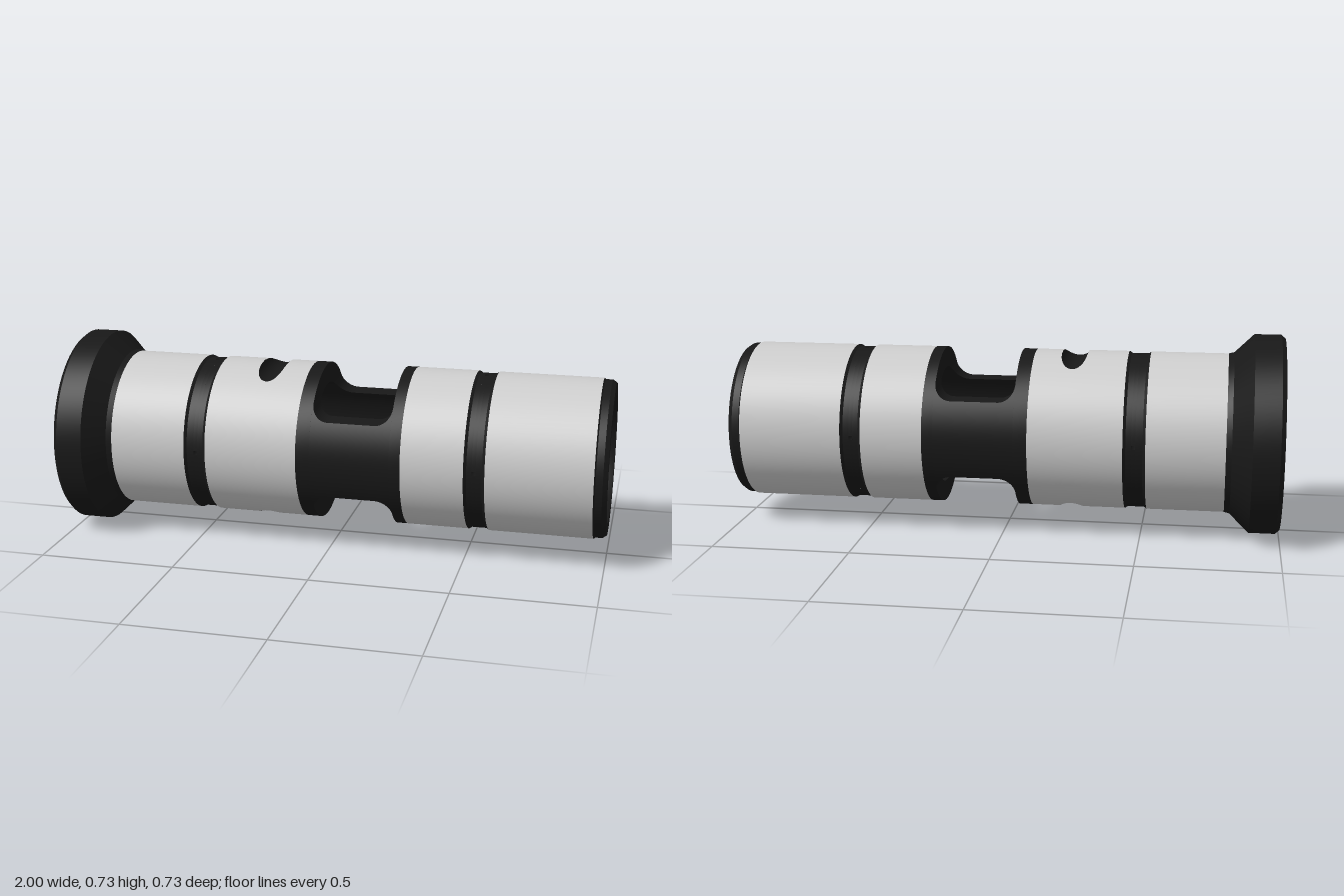
import * as THREE from 'three';
import { toCreasedNormals } from 'three/addons/utils/BufferGeometryUtils.js';
import { ParametricGeometry } from 'three/addons/geometries/ParametricGeometry.js';

const OUTER = 0.29, BORE = 0.216, AXIS_Y = 0.3625, SEG = 96;
const PIN = 0.007; // half width of a pin hole

export function createModel() {
  const group = new THREE.Group();
  const grey = new THREE.MeshStandardMaterial({ color: 0xcccccc, side: THREE.DoubleSide });
  const dark = new THREE.MeshStandardMaterial({ color: 0x181818, side: THREE.DoubleSide });

  const add = (name, geometry, material) => {
    const mesh = new THREE.Mesh(geometry, material);
    mesh.name = name;
    group.add(mesh);
    return mesh;
  };

  // Surface turned around the x axis from [radius, x] points
  const turn = (name, points, material, start = 0, length = Math.PI * 2) => {
    const pts = points.map(([r, x]) => new THREE.Vector2(r, x));
    const geo = new THREE.LatheGeometry(pts, Math.round(SEG * length / (Math.PI * 2)), start, length);
    geo.rotateZ(-Math.PI / 2);
    return add(name, toCreasedNormals(geo, 0.4), material);
  };

  // Straight wall with four pin holes around it at x = pin
  const pierced = (name, r, x0, pin, x1, inward) => {
    const order = (a, b) => inward ? [[r, b], [r, a]] : [[r, a], [r, b]];
    turn(name, order(x0, pin - PIN), dark);
    turn(name, order(pin + PIN, x1), dark);
    const gap = PIN / r;
    for (let i = 0; i < 4; i++) {
      turn(name, order(pin - PIN, pin + PIN), dark, i * Math.PI / 2 + gap, Math.PI / 2 - 2 * gap);
    }
  };

  // Add a surface and its copy turned half way round the axis
  const addPair = (name, fn, slices, stacks, material) => {
    for (const angle of [0, Math.PI]) {
      add(name, new ParametricGeometry(fn, slices, stacks), material).rotation.x = angle;
    }
  };

  // Cylinder wall cut off above and below at the height given by a path of (x, height)
  const clippedWall = (name, path, radius, material) => addPair(name, (u, v, target) => {
    const p = path.getPointAt(THREE.MathUtils.clamp(v, 0, 1));
    const a = Math.asin(Math.min(1, p.y / radius)) * (1 - 2 * u);
    target.set(p.x, radius * Math.sin(a), radius * Math.cos(a));
  }, 48, 80, material);

  // Floor of such a cut, on both sides of the bore
  const cutFloor = (name, path) => {
    for (const side of [-1, 1]) {
      addPair(name, (u, v, target) => {
        const p = path.getPointAt(THREE.MathUtils.clamp(v, 0, 1));
        const zi = Math.sqrt(Math.max(0, BORE ** 2 - p.y ** 2));
        const zo = Math.sqrt(Math.max(0, OUTER ** 2 - p.y ** 2));
        const k = side > 0 ? u : 1 - u;
        target.set(p.x, p.y, side * (zi + (zo - zi) * k));
      }, 4, 80, dark);
    }
  };

  // Flange and opposite end rim
  turn('flange', [[0.235, -1], [0.35, -1], [0.3625, -0.985], [0.3625, -0.89],
    [0.295, -0.82], [OUTER, -0.8]], dark);
  turn('endRim', [[OUTER, 0.955], [0.285, 0.96], [0.285, 0.985], [0.275, 1], [0.23, 1]], dark);

  // Plain outer bands
  for (const [x0, x1] of [[-0.8, -0.52], [0.28, 0.505], [0.58, 0.955]]) {
    turn('outerBand', [[OUTER, x0], [OUTER, x1]], grey);
  }

  // Shallow grooves with pin holes
  for (const [x0, pin, x1] of [[-0.52, -0.477, -0.44], [0.505, 0.541, 0.58]]) {
    turn('grooveEdge', [[OUTER, x0], [0.283, x0 + 0.01]], dark);
    pierced('grooveFloor', 0.283, x0 + 0.01, pin, x1 - 0.01, false);
    turn('grooveEdge', [[0.283, x1 - 0.01], [OUTER, x1]], dark);
    for (let i = 0; i < 4; i++) {
      const geo = new THREE.CylinderGeometry(PIN * Math.SQRT2, PIN * Math.SQRT2, 0.067, 4, 1, true);
      geo.rotateY(Math.PI / 4).translate(0, 0.2495, 0).rotateX(i * Math.PI / 2).translate(pin, 0, 0);
      add('pinHole', geo, dark);
    }
  }

  // Band with a round-bottomed slot above and below
  const slotPath = new THREE.Path();
  slotPath.moveTo(-0.44, 0.297);
  slotPath.lineTo(-0.293, 0.297);
  slotPath.absarc(-0.245, 0.297, 0.048, Math.PI, 2 * Math.PI, false);
  slotPath.lineTo(-0.1, 0.297);
  clippedWall('slottedBand', slotPath, OUTER, grey);
  cutFloor('slotFloor', slotPath);

  // Windows milled through the wall above and below, with rounded corners
  const windowPath = new THREE.Path();
  windowPath.moveTo(-0.05, 0.2);
  windowPath.absarc(0.01, 0.2, 0.06, Math.PI, 1.5 * Math.PI, false);
  windowPath.lineTo(0.18, 0.14);
  windowPath.absarc(0.18, 0.2, 0.06, 1.5 * Math.PI, 2 * Math.PI, false);
  clippedWall('windowOuterWall', windowPath, OUTER, dark);
  clippedWall('windowInnerWall', windowPath, BORE, dark);
  cutFloor('windowEdge', windowPath);

  // Dark collars whose end faces close the windows
  turn('windowCollar', [[OUTER, -0.1], [OUTER, -0.05], [BORE, -0.05]], dark);
  turn('windowCollar', [[BORE, 0.24], [OUTER, 0.24], [OUTER, 0.28]], dark);

  // Stepped bore
  turn('flangeBore', [[BORE, -0.62], [0.172, -0.62], [0.172, -0.7], [0.192, -0.7], [0.192, -0.86],
    [0.215, -0.86], [0.215, -0.97], [0.235, -1]], dark);
  pierced('bore', BORE, -0.62, -0.477, -0.05, true);
  pierced('bore', BORE, 0.24, 0.541, 0.62, true);
  turn('endBore', [[0.23, 1], [0.22, 0.97], [0.22, 0.68], [0.2, 0.68], [0.2, 0.62], [BORE, 0.62]], dark);

  group.position.y = AXIS_Y;
  const model = new THREE.Group();
  model.name = 'flangedSleeve';
  group.name = 'sleeve';
  model.add(group);
  return model;
}
